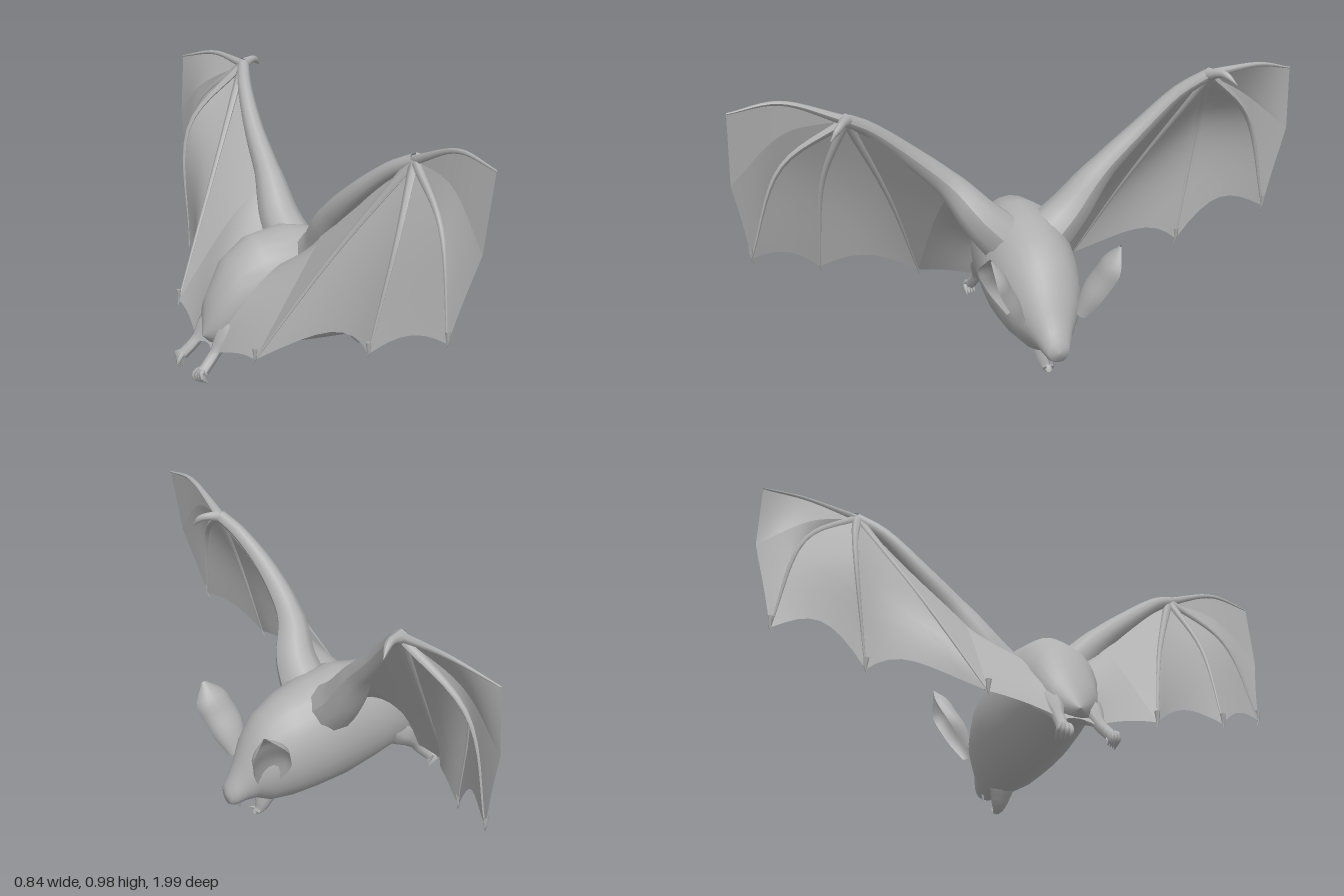
import * as THREE from 'three';

const V = (p) => new THREE.Vector3(...p);
const curve = (pts) => new THREE.CatmullRomCurve3(pts.map(V), false, 'centripetal');

// Smooth surface through equal-length rows of points
function sheet(rows, closed = false) {
  const n = rows[0].length, pos = [], idx = [];
  rows.forEach((r) => r.forEach((p) => pos.push(p.x, p.y, p.z)));
  for (let i = 0; i < rows.length - 1; i++) {
    for (let j = 0; j < (closed ? n : n - 1); j++) {
      const k = (j + 1) % n, a = i * n + j, b = i * n + k, c = a + n, d = b + n;
      idx.push(a, b, c, b, d, c);
    }
  }
  const g = new THREE.BufferGeometry();
  g.setAttribute('position', new THREE.Float32BufferAttribute(pos, 3));
  g.setIndex(idx);
  g.computeVertexNormals();
  return g;
}

// Tube whose radius follows a list of values along its length
function taper(pts, radii, seg = 12, sides = 8) {
  const c = curve(pts), g = new THREE.TubeGeometry(c, seg, 1, sides), p = g.attributes.position;
  const v = new THREE.Vector3();
  for (let i = 0; i < p.count; i++) {
    const t = Math.floor(i / (sides + 1)) / seg, f = t * (radii.length - 1);
    const k = Math.min(Math.floor(f), radii.length - 2);
    const r = THREE.MathUtils.lerp(radii[k], radii[k + 1], f - k);
    const o = c.getPointAt(t);
    v.fromBufferAttribute(p, i).sub(o).multiplyScalar(r).add(o);
    p.setXYZ(i, v.x, v.y, v.z);
  }
  g.computeVertexNormals();
  return g;
}

// Membrane between two curves, scalloped at the trailing edge and pulled forward there
function membrane(a, b, sag, pull = 0) {
  const rows = [];
  for (let j = 0; j <= 8; j++) {
    const t = j / 8, arch = 4 * t * (1 - t), row = [];
    for (let i = 0; i <= 12; i++) {
      const u = (i / 12) * (1 - sag * arch);
      const p = a.getPoint(u).lerp(b.getPoint(u), t);
      p.x += pull * arch * u * u;
      row.push(p);
    }
    rows.push(row);
  }
  return sheet(rows);
}

export function createModel() {
  const root = new THREE.Group();
  root.name = 'bat';
  const hide = new THREE.MeshStandardMaterial({ color: 0xb0b0b0, side: THREE.DoubleSide });
  hide.name = 'grey hide';
  const add = (parent, name, geo) => {
    const m = new THREE.Mesh(geo, hide);
    m.name = name;
    parent.add(m);
    return m;
  };

  // Body and head: x, centre height, half height, half width
  const sections = [
    [-0.345, 0.17, 0.002, 0.002], [-0.31, 0.22, 0.088, 0.08], [-0.24, 0.29, 0.145, 0.12],
    [-0.15, 0.31, 0.19, 0.145], [-0.02, 0.305, 0.217, 0.16], [0.1, 0.288, 0.209, 0.167],
    [0.2, 0.265, 0.194, 0.15], [0.28, 0.242, 0.166, 0.125], [0.33, 0.22, 0.12, 0.095],
    [0.365, 0.178, 0.082, 0.066], [0.4, 0.142, 0.054, 0.048], [0.42, 0.132, 0.036, 0.036],
    [0.426, 0.13, 0.002, 0.002],
  ];
  add(root, 'body', sheet(sections.map(([x, y, h, w]) => {
    const ring = [];
    for (let k = 0; k < 24; k++) {
      const a = (k / 24) * Math.PI * 2;
      ring.push(new THREE.Vector3(x, y + Math.cos(a) * h, -Math.sin(a) * w));
    }
    return ring;
  }), true));

  // Open lower jaw and teeth
  const jaw = add(root, 'lowerJaw', taper(
    [[0.25, 0.13, 0], [0.275, 0.07, 0], [0.298, 0.025, 0], [0.318, 0.018, 0]],
    [0.04, 0.034, 0.024, 0.008], 12, 10));
  jaw.scale.z = 1.3;
  for (const s of [1, -1]) {
    add(root, 'upperTooth', taper([[0.385, 0.105, s * 0.022], [0.383, 0.072, s * 0.02]], [0.008, 0.0005], 3, 6));
    add(root, 'lowerTooth', taper([[0.305, 0.025, s * 0.014], [0.33, 0.04, s * 0.013]], [0.008, 0.0005], 3, 6));
    add(root, 'nostril', taper([[0.4, 0.155, s * 0.02], [0.424, 0.145, s * 0.02]], [0.022, 0.008, 0.0005], 6, 8));
  }

  // Cupped ears opening outwards
  for (const s of [1, -1]) {
    const spine = curve([[0.315, 0.22, 0.12 * s], [0.332, 0.31, 0.175 * s], [0.36, 0.39, 0.215 * s], [0.385, 0.468, 0.225 * s]]);
    const across = V([0.93, -0.2, -0.3 * s]).normalize(), back = V([-0.3, 0.25, -0.92 * s]).normalize();
    const widths = curve([[0.04, 0, 0], [0.066, 0, 0], [0.064, 0, 0], [0.006, 0, 0]]);
    const rows = [];
    for (let i = 0; i <= 12; i++) {
      const o = spine.getPoint(i / 12), w = widths.getPoint(i / 12).x, row = [];
      for (let j = 0; j <= 10; j++) {
        const a = (j / 10 - 0.5) * Math.PI * 1.15;
        row.push(o.clone().addScaledVector(across, Math.sin(a) * w).addScaledVector(back, Math.cos(a) * w * 0.8));
      }
      rows.push(row);
    }
    add(root, s > 0 ? 'leftEar' : 'rightEar', sheet(rows));
  }

  // Legs with clawed toes
  for (const s of [1, -1]) {
    const leg = new THREE.Group();
    leg.name = s > 0 ? 'leftLeg' : 'rightLeg';
    root.add(leg);
    add(leg, 'shank', taper([[-0.2, 0.25, s * 0.06], [-0.29, 0.18, s * 0.07], [-0.345, 0.115, s * 0.075], [-0.385, 0.075, s * 0.085]],
      [0.06, 0.05, 0.021, 0.02]));
    for (let k = 0; k < 4; k++) {
      const z = s * (0.067 + k * 0.012);
      add(leg, 'toe', taper([[-0.375, 0.085, s * 0.083], [-0.402, 0.073, z], [-0.41 + k * 0.008, 0.05, z], [-0.395 + k * 0.008, 0.035, z]],
        [0.014, 0.01, 0.009, 0.001], 8, 6));
    }
  }
  add(root, 'tailMembrane', membrane(
    curve([[-0.25, 0.22, 0.08], [-0.31, 0.16, 0.075], [-0.35, 0.11, 0.075]]),
    curve([[-0.25, 0.22, -0.08], [-0.31, 0.16, -0.075], [-0.35, 0.11, -0.075]]), 0.3));

  // Wings: the right one is raised a little higher and further forward
  const wings = [
    { name: 'leftWing', s: 1, wrist: [0.095, 0.89, 0.62], arm: [[0.01, 0.6, 0.25], [0.015, 0.725, 0.39], [0.06, 0.845, 0.54]],
      lead: [0.105, 0.965, 0.83], corner: [0.115, 0.945, 0.995], edge: [0.08, 0.7, 0.995], tip1: [0.01, 0.42, 0.94],
      tip2: [-0.11, 0.32, 0.7], tip3: [-0.3, 0.19, 0.31], mid1: [0.05, 0.74, 0.83], mid2: [-0.01, 0.66, 0.69],
      mid3: [-0.1, 0.55, 0.45], thumb: [[0.155, 0.885, 0.65], [0.178, 0.845, 0.685]], scallop: [0.11, 0.06] },
    { name: 'rightWing', s: -1, wrist: [0.14, 0.965, -0.63], arm: [[0.055, 0.62, -0.26], [0.07, 0.77, -0.41], [0.1, 0.9, -0.54]],
      lead: [0.11, 0.98, -0.83], corner: [0.05, 0.945, -0.99], edge: [0.04, 0.72, -0.998], tip1: [0.02, 0.42, -0.93],
      tip2: [-0.1, 0.28, -0.64], tip3: [-0.3, 0.19, -0.3], mid1: [0.04, 0.77, -0.84], mid2: [-0.065, 0.73, -0.69],
      mid3: [-0.09, 0.57, -0.45], thumb: [[0.2, 0.975, -0.66], [0.24, 0.945, -0.69]], scallop: [0.1, 0.12] },
  ];
  for (const w of wings) {
    const g = new THREE.Group(), s = w.s;
    g.name = w.name;
    root.add(g);
    const shoulder = [0.11, 0.45, s * 0.12], elbow = w.arm[0];
    const fingers = [
      [w.wrist, w.mid3, w.tip3], [w.wrist, w.mid2, w.tip2], [w.wrist, w.mid1, w.tip1], [w.wrist, w.lead, w.corner],
    ];
    const [f5, f4, f3, f2] = fingers.map(curve);
    const flank = curve([shoulder, [-0.1, 0.43, s * 0.12], [-0.25, 0.3, s * 0.1], [-0.335, 0.13, s * 0.075]]);
    const elbowLine = curve([elbow, [-0.095, 0.475, s * 0.28], w.tip3]);
    const outer = curve([w.wrist, [w.edge[0] + 0.01, 0.86, s * 0.82], w.edge]);

    // Skin panels
    add(g, 'innerMembrane', membrane(flank, elbowLine, 0.02));
    add(g, 'armMembrane', membrane(elbowLine, f5, 0));
    add(g, 'middleMembrane', membrane(f5, f4, w.scallop[0], 0.045));
    add(g, 'outerMembrane', membrane(f4, f3, w.scallop[1]));
    add(g, 'tipMembrane', membrane(f3, outer, -0.02));
    add(g, 'leadingMembrane', membrane(outer, f2, 0));

    // Arm, finger bones, claws and thumb
    add(g, 'arm', taper([[0.05, 0.41, s * 0.08], [0.045, 0.49, s * 0.16], ...w.arm, w.wrist],
      [0.09, 0.07, 0.046, 0.036, 0.028, 0.022], 20, 10));
    fingers.forEach((f) => add(g, 'finger', taper(f, [0.018, 0.011, 0.007, 0.003], 14, 6)));
    [w.tip1, w.tip2, w.tip3].forEach(([x, y, z]) => add(g, 'wingClaw',
      taper([[x, y + 0.04, z], [x, y, z], [x - 0.005, y - 0.02, z - s * 0.008]], [0.01, 0.006, 0.0005], 6, 6)));
    add(g, 'thumb', taper([w.wrist, ...w.thumb], [0.024, 0.015, 0.012, 0.001], 10, 8));
  }
  return root;
}
